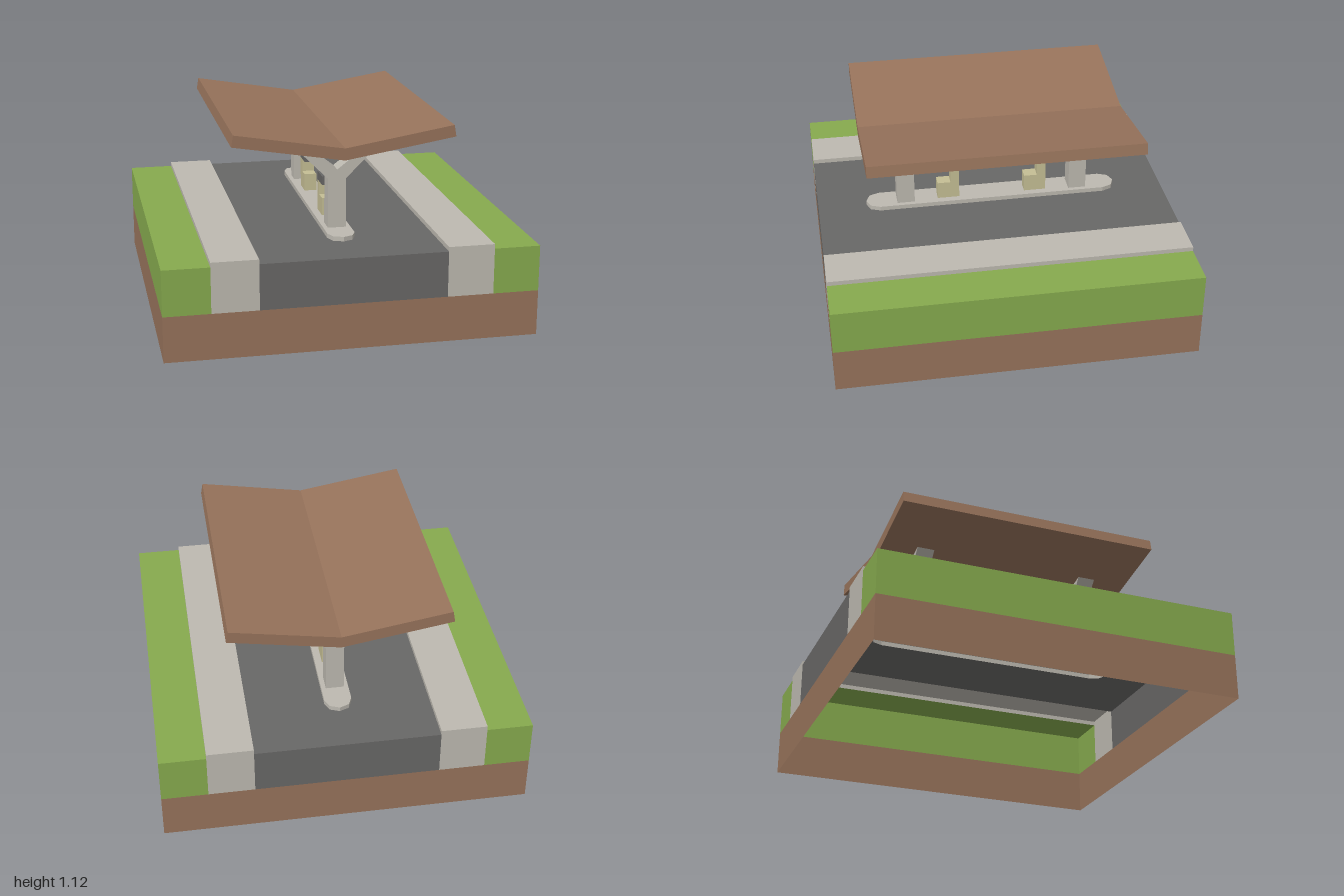
import * as THREE from 'three';
import { mergeGeometries } from 'three/addons/utils/BufferGeometryUtils.js';

const mat = (name, color) => new THREE.MeshStandardMaterial({ name, color, flatShading: true, side: THREE.DoubleSide });

const toShape = pts => new THREE.Shape(pts.map(([x, y]) => new THREE.Vector2(x, y)));

// Open ribbon: a line of x,y points swept from z = -d to z = d
function ribbon(pts, d) {
  const pos = [];
  for (let i = 0; i + 1 < pts.length; i++) {
    const [a, b] = pts[i], [p, q] = pts[i + 1];
    pos.push(a, b, -d, p, q, -d, p, q, d, a, b, -d, p, q, d, a, b, d);
  }
  const g = new THREE.BufferGeometry();
  g.setAttribute('position', new THREE.Float32BufferAttribute(pos, 3));
  g.computeVertexNormals();
  return g;
}

// Flat end faces of an outline at z = d and z = -d
function ends(outline, d) {
  return [1, -1].map(s => {
    const g = new THREE.ShapeGeometry(toShape(outline)).toNonIndexed();
    g.deleteAttribute('uv');
    const p = g.attributes.position;
    if (s < 0) {
      for (let i = 0; i < p.count; i += 3) {
        const x = p.getX(i), y = p.getY(i);
        p.setXY(i, p.getX(i + 1), p.getY(i + 1));
        p.setXY(i + 1, x, y);
      }
    }
    g.translate(0, 0, s * d);
    g.computeVertexNormals();
    return g;
  });
}

// Hollow prism: end faces plus only the listed part of the skin
const shell = (outline, skin, d) => mergeGeometries([ribbon(skin, d), ...ends(outline, d)]);

// Upright wall following a plan outline
const wall = (plan, y0, y1) => ribbon([...plan, plan[0]], (y1 - y0) / 2)
  .rotateX(-Math.PI / 2).translate(0, (y0 + y1) / 2, 0);

// Horizontal sheet at height y with optional holes
function sheet(plan, y, holes = []) {
  const s = toShape(plan);
  holes.forEach(h => s.holes.push(new THREE.Path(h.map(([a, b]) => new THREE.Vector2(a, b)))));
  return new THREE.ShapeGeometry(s).rotateX(-Math.PI / 2).translate(0, y, 0);
}

const rect = (x0, y0, x1, y1) => [[x0, y0], [x1, y0], [x1, y1], [x0, y1]];

export function createModel() {
  const model = new THREE.Group();
  model.name = 'fuelStation';
  const brown = mat('brown', 0x97735b);
  const green = mat('grassGreen', 0x86aa4e);
  const grey = mat('concreteGrey', 0xbdb9b0);
  const dark = mat('asphaltGrey', 0x686766);
  const cream = mat('paleYellow', 0xc5be94);

  const add = (name, geo, material, parent = model) => {
    const m = new THREE.Mesh(geo, material);
    m.name = name;
    parent.add(m);
    return m;
  };

  // Open-bottomed ground block
  add('earth', wall(rect(-1, -1, 1, 1), 0, 0.25), brown);

  // Grass verge and kerb on each side
  for (const [side, turn] of [['left', 0], ['right', Math.PI]]) {
    const g = new THREE.Group();
    g.name = side + 'Verge';
    g.rotation.y = turn;
    add('grass', shell(rect(0.75, 0.25, 1, 0.5), [[1, 0.25], [1, 0.5], [0.75, 0.5]], 1), green, g);
    add('kerb', shell(rect(0.5, 0.25, 0.75, 0.525),
      [[0.75, 0.5], [0.75, 0.525], [0.5, 0.525], [0.5, 0.5]], 1), grey, g);
    model.add(g);
  }

  // Island outline: a long strip with half-octagon ends
  const r = 0.075, island = [];
  for (let i = 0; i < 10; i++) {
    const a = (i % 5 + (i < 5 ? 0 : 4)) * Math.PI / 4;
    island.push([r * Math.cos(a), r * Math.sin(a) + (i < 5 ? 0.65 : -0.65)]);
  }

  // Road with a cut-out for the island
  add('roadSurface', sheet(rect(-0.5, -1, 0.5, 1), 0.5, [island]), dark);
  add('roadEnds', mergeGeometries(ends(rect(-0.5, 0.25, 0.5, 0.5), 1)), dark);

  // Island, open under each pump and pillar
  const w = 0.035;
  const holes = [
    rect(-0.05, 0.45, 0.05, 0.55), rect(-0.05, -0.55, 0.05, -0.45),
    rect(-w, 0.19, w, 0.315), rect(-w, -0.315, w, -0.19),
  ];
  add('islandTop', sheet(island, 0.525, holes), grey);
  add('islandEdge', wall(island, 0.5, 0.525), grey);

  // Y-shaped pillars
  const pillar = [[0.05, 0.525], [0.05, 0.8], [0.25, 1], [0.195, 1], [0, 0.85],
    [-0.195, 1], [-0.25, 1], [-0.05, 0.8], [-0.05, 0.525]];
  for (const [name, z] of [['frontPillar', 0.5], ['backPillar', -0.5]]) {
    add(name, shell(pillar, pillar, 0.05), grey).position.z = z;
  }

  // Pumps: stepped body with a dark cap, both facing the front
  const body = [[0.315, 0.525], [0.315, 0.625], [0.24, 0.625], [0.24, 0.7], [0.19, 0.7], [0.19, 0.525]];
  for (const [name, z] of [['frontPump', 0], ['backPump', -0.505]]) {
    const g = new THREE.Group();
    g.name = name;
    g.position.z = z;
    add('pumpBody', shell(body, body, w).rotateY(-Math.PI / 2), cream, g);
    add('pumpCap', new THREE.BoxGeometry(2 * w, 0.05, 0.125).translate(0, 0.725, 0.2525), dark, g);
    model.add(g);
  }

  // Butterfly roof
  const roof = [[0, 0.952], [0.6, 1.052], [0.589, 1.115], [0, 1.017], [-0.589, 1.115], [-0.6, 1.052]];
  add('roof', shell(roof, [...roof, roof[0]], 0.75), brown);

  return model;
}
